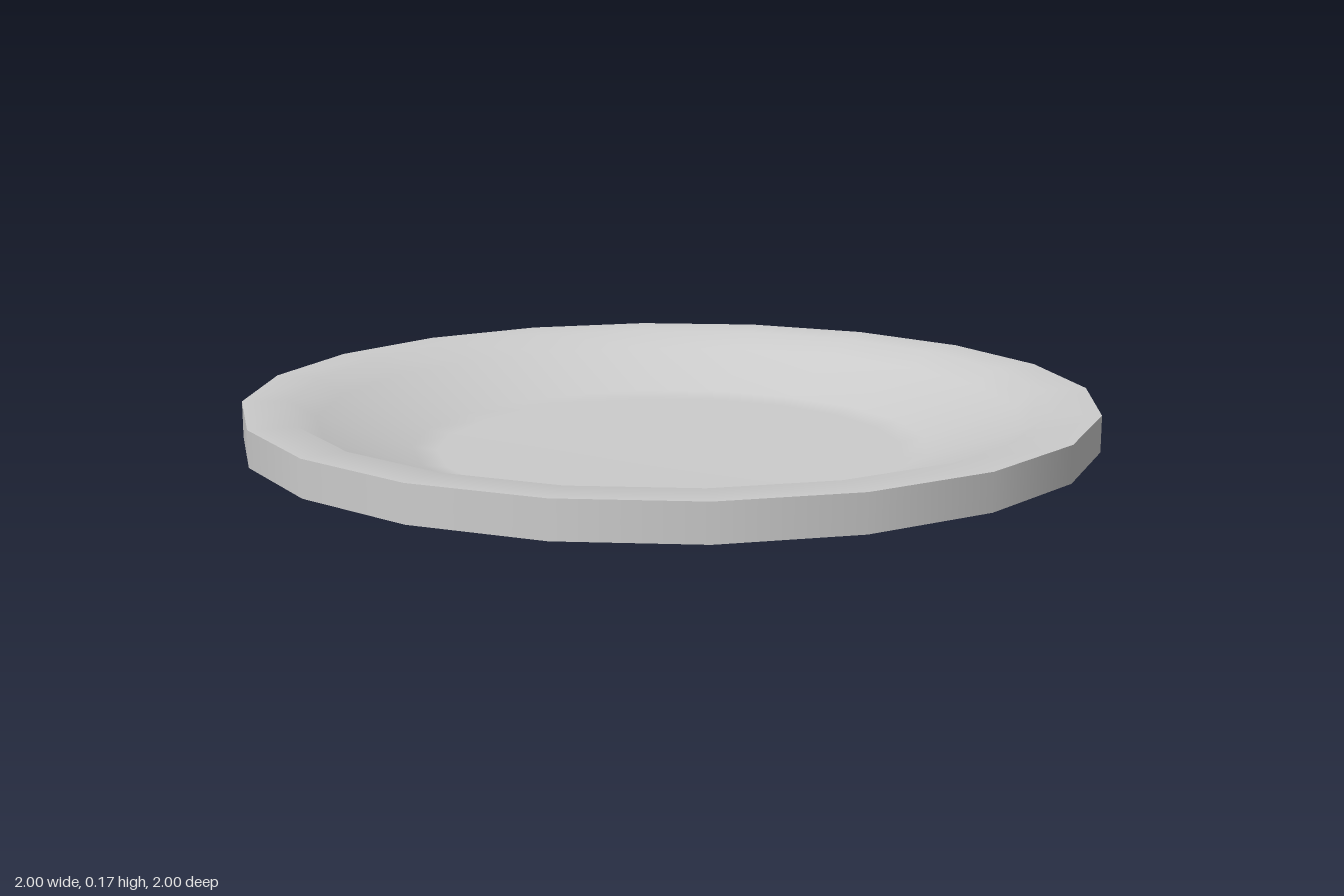
import * as THREE from 'three';

const SIDES = 20;
const material = new THREE.MeshStandardMaterial({ color: 0xcccccc });

// One smooth surface of revolution; separate surfaces meet at sharp edges
function turned(name, profile) {
  const points = profile.map(([r, y]) => new THREE.Vector2(r, y));
  const mesh = new THREE.Mesh(new THREE.LatheGeometry(points, SIDES), material);
  mesh.name = name;
  return mesh;
}

export function createModel() {
  const plate = new THREE.Group();
  plate.name = 'plate';

  // Flat foot, shallow cone and the flat lip under the rim
  plate.add(turned('underside', [[0, 0], [0.54, 0], [0.89, 0.08], [1, 0.08]]));

  // Upright outer edge
  plate.add(turned('rimEdge', [[1, 0.08], [1, 0.165]]));

  // Flat rim, sloping inner wall and the sunken floor
  plate.add(turned('dish', [
    [1, 0.165], [0.89, 0.163], [0.83, 0.125], [0.61, 0.05], [0.55, 0.04], [0, 0.04],
  ]));

  return plate;
}
